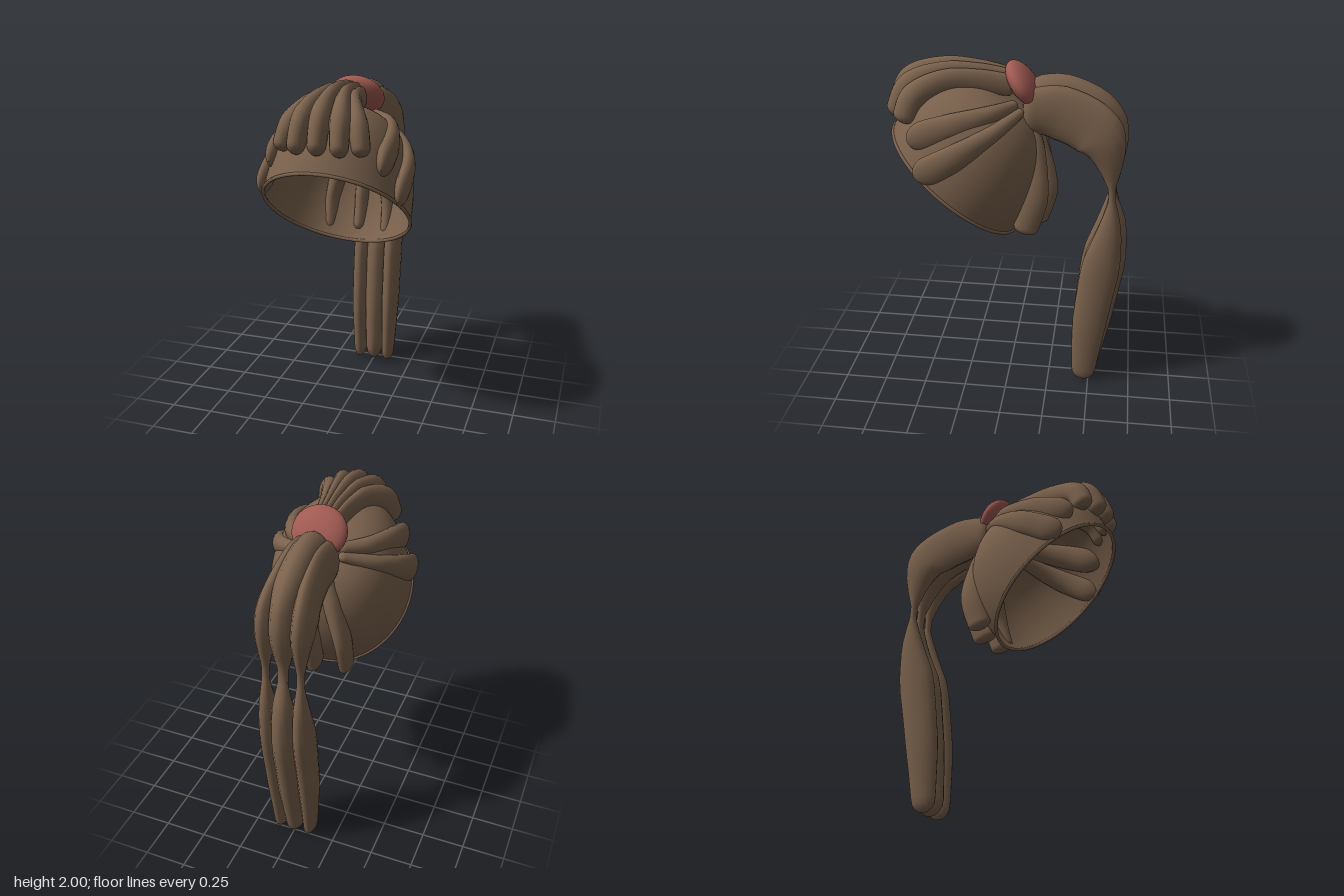
import * as THREE from 'three';

const hair = new THREE.MeshStandardMaterial({ color: 0x7b624d, side: THREE.DoubleSide });
hair.name = 'brown hair';
const band = new THREE.MeshStandardMaterial({ color: 0xa15a53 });
band.name = 'red band';

const CENTER = new THREE.Vector3(0, 1.3, 0.31); // middle of the cap opening
const SIZE = new THREE.Vector3(0.405, 0.57, 0.46);
const X = new THREE.Vector3(1, 0, 0);
const Y = new THREE.Vector3(0, 1, 0);

// Push a unit direction out to the cap surface: oval opening, bulging over the forehead
function toCap(v) {
  const k = 2.4 + 0.5 * v.z;
  v.multiplyScalar(Math.pow(Math.hypot(v.x, v.z) ** k + Math.abs(v.y) ** k, -1 / k));
  v.z *= 1 + 0.13 * Math.max(0, v.z) * Math.sin(Math.PI * v.y);
  return v.multiply(SIZE).applyAxisAngle(X, -0.707).add(CENTER);
}

// Lock of hair with an elliptical section; stations are [x, y, z, halfWidth, halfThickness]
function lock(stations, sideAxis) {
  const N = 40, SIDES = 16;
  const path = new THREE.CatmullRomCurve3(stations.map(s => new THREE.Vector3(s[0], s[1], s[2])));
  const length = path.getLength();
  const pos = [], idx = [];
  for (let i = 0; i <= N; i++) {
    const t = 0.5 - 0.5 * Math.cos(Math.PI * i / N);
    const p = path.getPoint(t), T = path.getTangent(t);
    const f = t * (stations.length - 1), n = Math.min(Math.floor(f), stations.length - 2);
    const size = k => THREE.MathUtils.lerp(stations[n][k], stations[n + 1][k], f - n);
    // Rounded ends
    const endLen = 1.1 * stations[t < 0.5 ? 0 : stations.length - 1][3] / length;
    const e = Math.max(0, 1 - Math.min(t, 1 - t) / endLen);
    const round = Math.max(0.02, Math.sqrt(1 - e * e));
    const side = sideAxis.clone().addScaledVector(T, -sideAxis.dot(T)).normalize();
    const up = T.clone().cross(side);
    for (let j = 0; j < SIDES; j++) {
      const a = j / SIDES * Math.PI * 2;
      const q = p.clone().addScaledVector(side, size(3) * round * Math.cos(a))
        .addScaledVector(up, size(4) * round * Math.sin(a));
      pos.push(q.x, q.y, q.z);
      if (i < N) {
        const A = i * SIDES + j, B = i * SIDES + (j + 1) % SIDES;
        idx.push(A, B, A + SIDES, B, B + SIDES, A + SIDES);
      }
    }
  }
  const g = new THREE.BufferGeometry();
  g.setAttribute('position', new THREE.Float32BufferAttribute(pos, 3));
  g.setIndex(idx);
  g.computeVertexNormals();
  return g;
}

export function createModel() {
  const model = new THREE.Group();
  model.name = 'ponytailHair';
  const add = (name, geometry, material = hair) => {
    const mesh = new THREE.Mesh(geometry, material);
    mesh.name = name;
    model.add(mesh);
    return mesh;
  };
  const pair = (name, stations, axis) => {
    add(name + 'Left', lock(stations, axis));
    add(name + 'Right', lock(stations.map(([x, ...r]) => [-x, ...r]), axis));
  };

  // Cap: tilted open dome
  const cap = new THREE.SphereGeometry(1, 64, 24, 0, Math.PI * 2, 0, Math.PI / 2);
  const v = new THREE.Vector3(), P = cap.attributes.position;
  for (let i = 0; i < P.count; i++) {
    toCap(v.fromBufferAttribute(P, i));
    P.setXYZ(i, v.x, v.y, v.z);
  }
  cap.computeVertexNormals();
  add('cap', cap);

  // Soft lip around the opening
  const rim = [];
  for (let i = 0; i < 32; i++) {
    const a = i / 32 * Math.PI * 2;
    rim.push(toCap(new THREE.Vector3(Math.cos(a), 0, Math.sin(a))));
  }
  add('capRim', new THREE.TubeGeometry(new THREE.CatmullRomCurve3(rim, true), 80, 0.01, 8, true));

  // Fringe: five locks swept forward
  add('fringeMiddle', lock([
    [0, 1.88, -0.04, 0.02, 0.06], [0, 1.91, 0.15, 0.028, 0.075], [0, 1.925, 0.35, 0.04, 0.075],
    [0, 1.865, 0.55, 0.055, 0.075], [0, 1.69, 0.645, 0.045, 0.06]], X));
  pair('fringeInner', [
    [0.025, 1.88, -0.04, 0.02, 0.06], [0.035, 1.90, 0.15, 0.028, 0.075], [0.06, 1.91, 0.35, 0.04, 0.075],
    [0.10, 1.85, 0.54, 0.055, 0.075], [0.118, 1.685, 0.63, 0.045, 0.06]], X);
  pair('fringeOuter', [
    [0.05, 1.86, -0.03, 0.02, 0.06], [0.068, 1.88, 0.15, 0.03, 0.07], [0.11, 1.885, 0.34, 0.042, 0.07],
    [0.18, 1.815, 0.505, 0.055, 0.07], [0.22, 1.68, 0.565, 0.045, 0.06]], X);

  // Side locks: two tall flat sweeps on each side
  pair('upperSideLock', [
    [0.10, 1.77, -0.05, 0.03, 0.03], [0.22, 1.74, 0.08, 0.055, 0.045],
    [0.285, 1.69, 0.26, 0.08, 0.05], [0.305, 1.605, 0.52, 0.095, 0.045]], Y);
  pair('lowerSideLock', [
    [0.11, 1.74, -0.08, 0.025, 0.03], [0.275, 1.655, 0.06, 0.05, 0.045],
    [0.37, 1.56, 0.23, 0.075, 0.045], [0.385, 1.43, 0.47, 0.085, 0.035]], Y);

  // Nape locks: hang down through the back of the cap
  add('napeLockMiddle', lock([
    [0, 1.75, -0.10, 0.025, 0.03], [0, 1.5, -0.185, 0.03, 0.035],
    [0, 1.25, -0.195, 0.045, 0.085], [0, 1.03, -0.135, 0.04, 0.08]], X));
  pair('napeLock', [
    [0.03, 1.74, -0.09, 0.03, 0.04], [0.10, 1.5, -0.145, 0.055, 0.065],
    [0.17, 1.25, -0.155, 0.045, 0.08], [0.175, 1.03, -0.10, 0.04, 0.07]], X);

  // Hair band: flattened cushion
  const tie = add('hairBand', new THREE.SphereGeometry(1, 32, 20), band);
  tie.scale.set(0.155, 0.144, 0.067);
  tie.position.set(0, 1.861, -0.075);
  tie.rotation.x = 0.63;

  // Ponytail: three strands, each pinched halfway down
  const strand = (x0, x1, w0, w1, s, dy, dz) => [
    [x0, 1.76 + dy, -0.08, w0 * 1.1, 0.13 * s], [x0, 1.755 + dy, -0.27, w0, 0.172 * s],
    [(x0 + x1) / 2, 1.695 + dy, -0.43, w0, 0.172 * s], [x1, 1.62 + dy / 2, -0.505, w1, 0.163 * s],
    [x1, 1.51, -0.552, w1, 0.115 * s],
    [x1, 1.27, -0.588, w1 * 0.3, 0.008], [x1, 1.05, -0.605 + dz, w1 * 0.8, 0.075 * s],
    [x1, 0.80, -0.565 + dz, w1, 0.127 * s], [x1, 0.40, -0.512 + dz, w1 * 0.95, 0.113 * s],
    [x1 * 0.94, 0.005, -0.465, w1 * 0.65, 0.075 * s]];
  add('ponytailMiddle', lock(strand(0, 0, 0.095, 0.075, 1, 0, 0), X));
  pair('ponytailSide', strand(0.075, 0.1, 0.055, 0.055, 0.9, -0.03, 0.02), X);

  return model;
}
